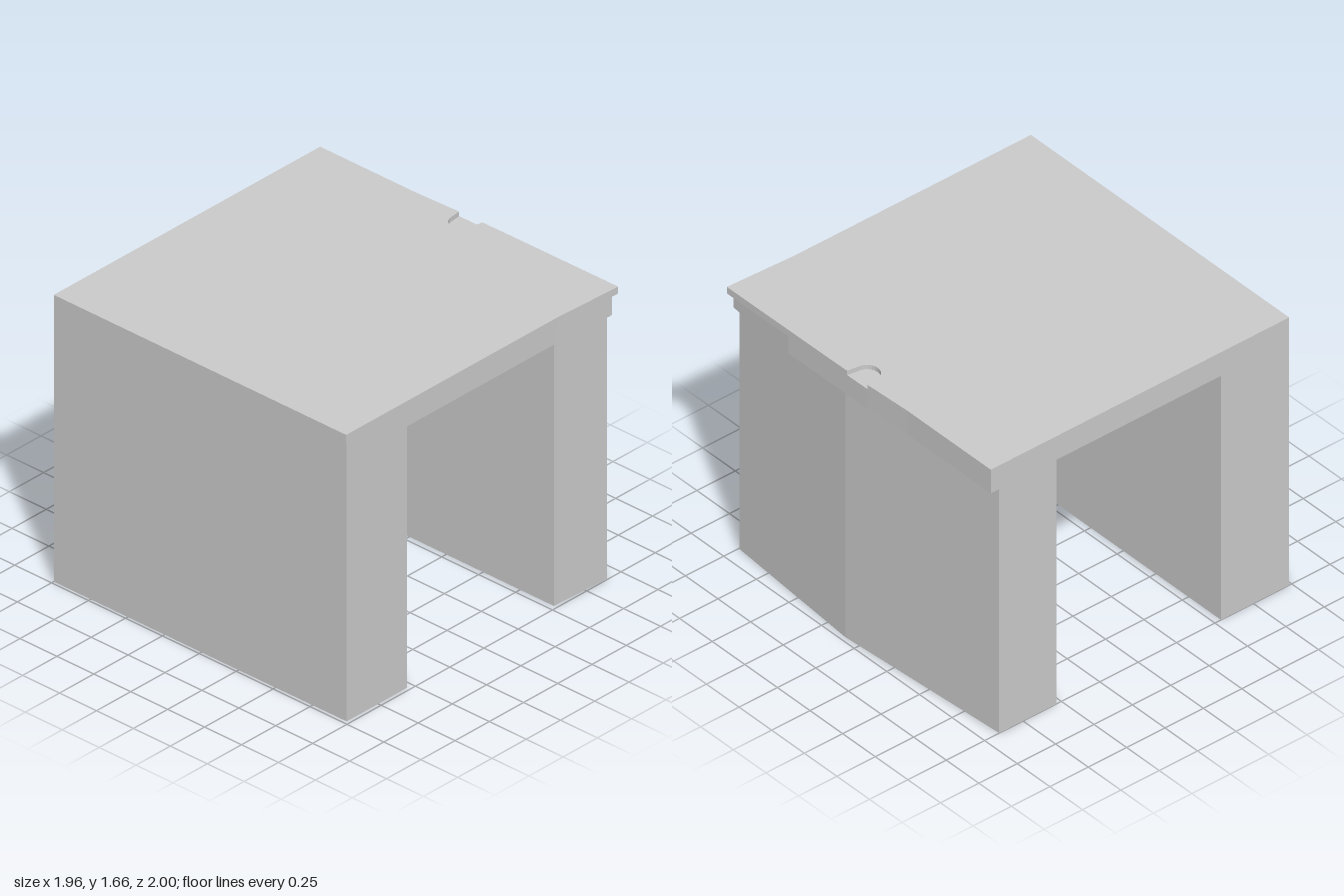
import * as THREE from 'three';

const material = new THREE.MeshStandardMaterial({ color: 0xcccccc, flatShading: true });

// Extrudes a plan outline of [x, z] points between two heights
function layer(name, outline, y0, y1) {
  const shape = new THREE.Shape(outline.map(([x, z]) => new THREE.Vector2(x, -z)));
  const geometry = new THREE.ExtrudeGeometry(shape, { depth: y1 - y0, bevelEnabled: false });
  geometry.rotateX(-Math.PI / 2);
  geometry.translate(0, y0, 0);
  const mesh = new THREE.Mesh(geometry, material);
  mesh.name = name;
  return mesh;
}

export function createModel() {
  const group = new THREE.Group();
  group.name = 'archBlock';

  const legTop = 1.515, lipBottom = 1.622, pocketFloor = 1.635, top = 1.662;

  // Edges shared by the slab layers, running front to back
  const leftSide = [[-0.984, -1], [-0.984, 0.16]];
  const rightBack = [[0.972, -0.07], [0.96, -0.36], [0.96, -1]];

  // Half-round finger pocket cut into the right edge
  const pocket = [[0.974, 0.085], [0.91, 0.075]];
  for (let i = 1; i < 12; i++) {
    const a = (i / 12) * Math.PI;
    pocket.push([0.91 - 0.068 * Math.sin(a), 0.006 + 0.069 * Math.cos(a)]);
  }
  pocket.push([0.91, -0.063]);

  // Legs: the left one is straight, the right one bulges outward mid-length
  group.add(layer('leftLeg', [
    ...leftSide, [-0.98, 0.98], [-0.54, 0.98], [-0.54, -1],
  ], 0, legTop));
  group.add(layer('rightLeg', [
    [0.533, -1], [0.533, 0.98], [0.56, 0.98], [0.902, 0.996], [0.973, 0.1], [0.905, -1],
  ], 0, legTop));

  // Slab body, cut back toward the front right corner
  group.add(layer('slabBody', [
    ...leftSide, [-0.98, 0.98], [0.56, 0.98], [0.938, 0.998], [0.976, 0.53], ...rightBack,
  ], legTop, lipBottom));

  // Overhanging lip, with the pocket opening in its upper part
  const lipFront = [...leftSide, [-0.984, 0.98], [0.56, 0.98], [0.98, 1], [0.976, 0.3]];
  group.add(layer('lip', [...lipFront, ...rightBack], lipBottom, pocketFloor));
  group.add(layer('topWithPocket', [...lipFront, ...pocket, ...rightBack], pocketFloor, top));

  return group;
}
